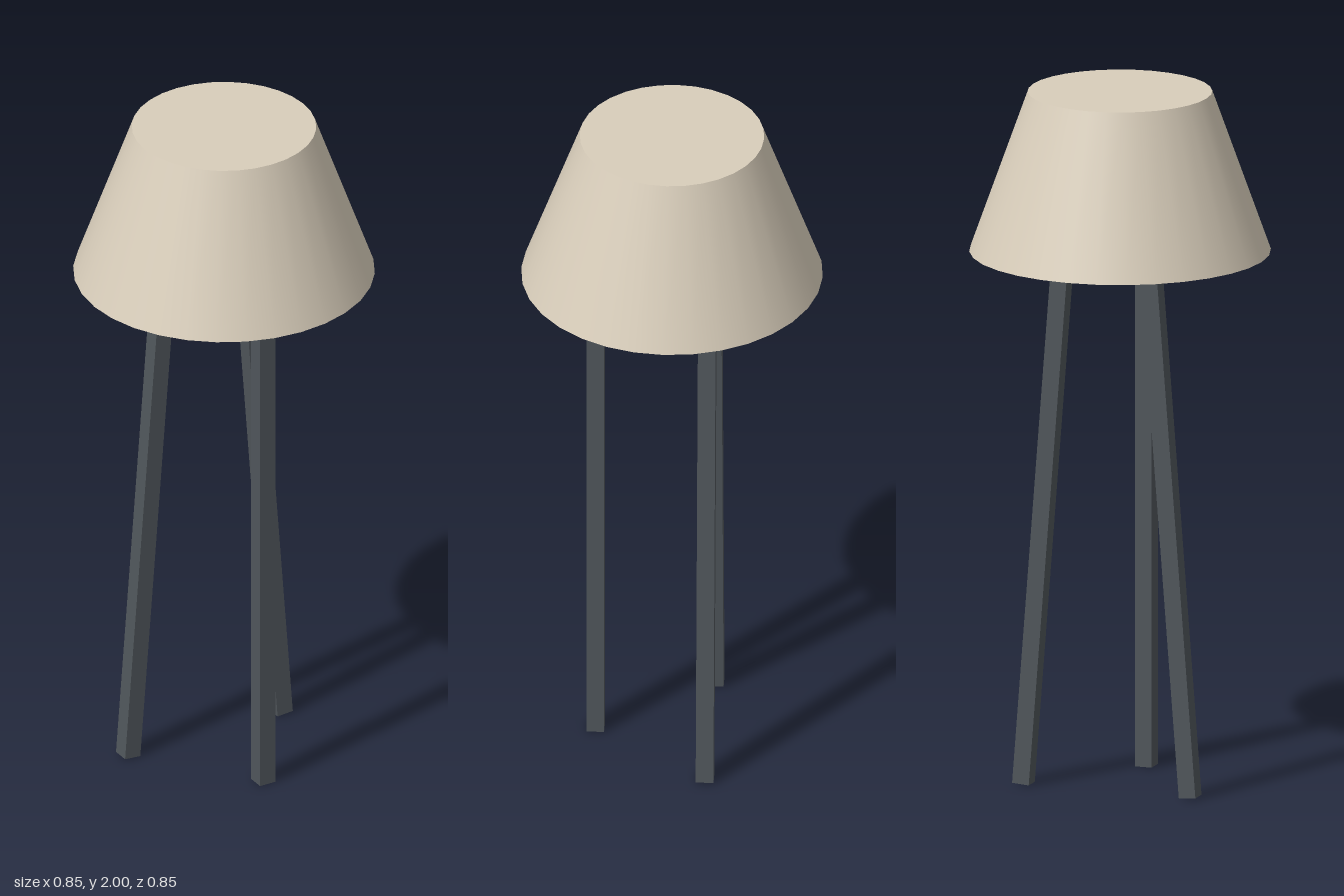
import * as THREE from 'three';

export function createModel() {
  const model = new THREE.Group();
  model.name = 'tripodLamp';

  const fabric = new THREE.MeshStandardMaterial({ color: 0xd9cebb });
  fabric.name = 'cream fabric';
  const metal = new THREE.MeshStandardMaterial({ color: 0x50565b });
  metal.name = 'dark grey metal';
  const glow = new THREE.MeshStandardMaterial({ color: 0xe6d8ac });
  glow.name = 'warm bulb';

  const add = (name, geometry, material, x, y, z) => {
    const mesh = new THREE.Mesh(geometry, material);
    mesh.name = name;
    mesh.position.set(x, y, z);
    model.add(mesh);
    return mesh;
  };

  // Closed tapered shade
  add('shade', new THREE.CylinderGeometry(0.26, 0.425, 0.46, 32), fabric, 0, 1.77, 0);

  // Bulb peeking out below the shade
  add('bulb', new THREE.SphereGeometry(0.14, 32, 20), glow, 0, 1.592, 0);

  // Three square legs on a circle; the rear pair splays sideways
  const legLength = 1.66;
  const ring = 0.215;
  const legGeometry = new THREE.BoxGeometry(0.05, legLength, 0.05);
  ['frontLeg', 'leftLeg', 'rightLeg'].forEach((name, i) => {
    const angle = (i * Math.PI * 2) / 3;
    const x = Math.sin(angle) * ring;
    const leg = add(name, legGeometry, metal, x, legLength / 2, Math.cos(angle) * ring);
    leg.rotation.z = [0, 0.077, -0.077][i];
  });

  return model;
}
